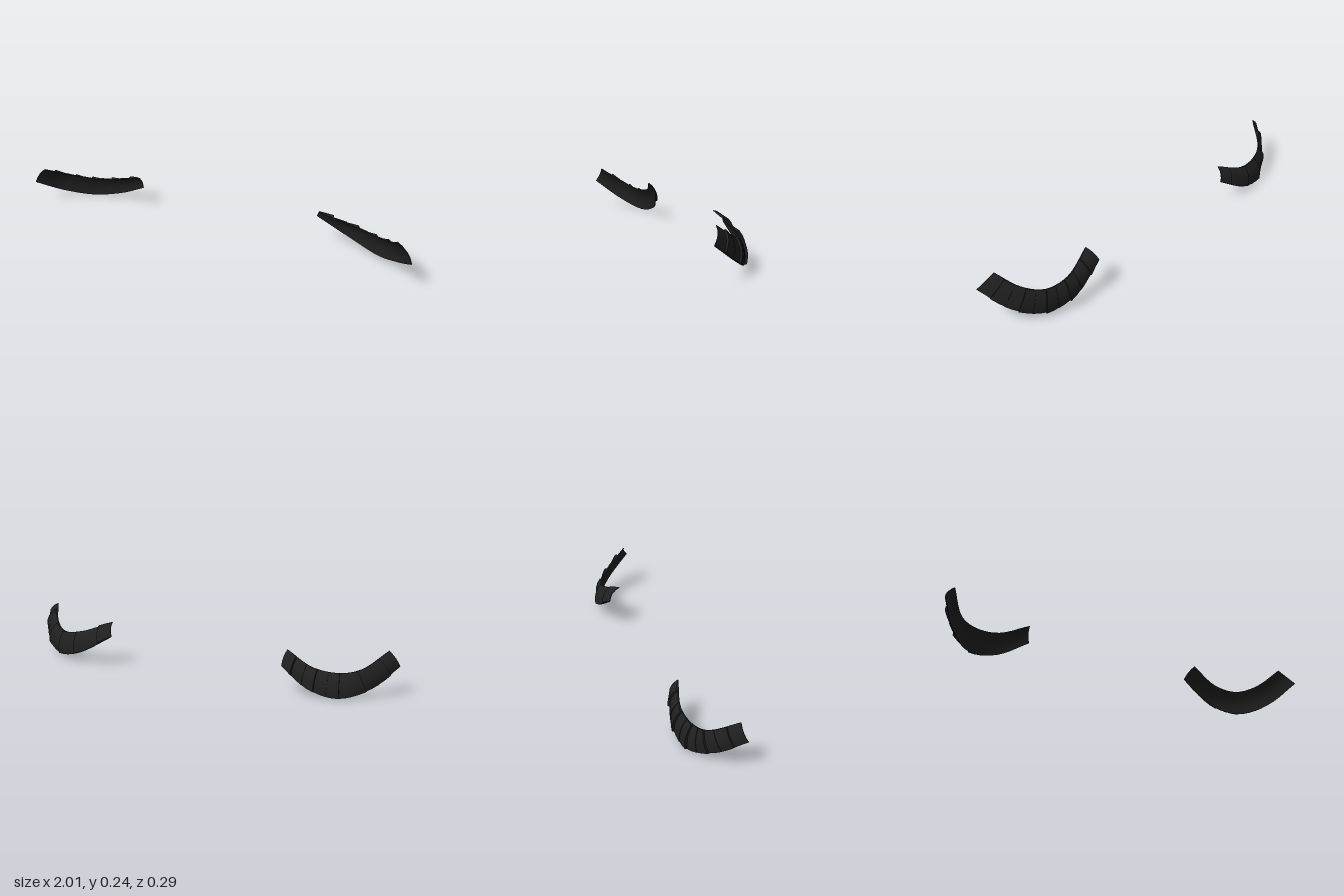
import * as THREE from 'three';
import { toCreasedNormals } from 'three/addons/utils/BufferGeometryUtils.js';

const ROWS = 4; // divisions across the band
const BOW = 0.013; // how far the cross-section bulges outwards

const curve = (pts) => new THREE.CatmullRomCurve3(pts.map((p) => new THREE.Vector3(...p)));

// Point on the band: u runs from outer end to inner end, v from lower to upper edge
function bandPoint(band, u, v, offset) {
  const low = band.lower.getPoint(u);
  const high = band.upper.getPoint(u);
  const tangent = band.lower.getTangent(u).add(band.upper.getTangent(u));
  const outward = high.clone().sub(low).cross(tangent).normalize().multiplyScalar(band.sign);
  return low.lerp(high, v).addScaledVector(outward, BOW * 4 * v * (1 - v) + offset);
}

// Closed curved slab following the band, with separate thickness at its two ends
function slab(band, u0, u1, steps, base, thick0, thick1) {
  const pos = [], idx = [], m = 2 * (ROWS + 1);
  for (let i = 0; i <= steps; i++) {
    const f = i / steps, u = u0 + (u1 - u0) * f;
    const top = thick0 + (thick1 - thick0) * f;
    for (let k = 0; k < m; k++) {
      const inner = k <= ROWS;
      const v = (inner ? k : m - 1 - k) / ROWS;
      pos.push(...bandPoint(band, u, v, inner ? base : top).toArray());
    }
  }
  const quad = (a, b, c, d) =>
    band.sign > 0 ? idx.push(a, b, c, a, c, d) : idx.push(a, c, b, a, d, c);
  for (let i = 0; i < steps; i++)
    for (let k = 0; k < m; k++) {
      const n = (k + 1) % m;
      quad(i * m + k, (i + 1) * m + k, (i + 1) * m + n, i * m + n);
    }
  const e = steps * m;
  for (let k = 0; k < ROWS; k++) {
    quad(k, k + 1, m - 2 - k, m - 1 - k);
    quad(e + m - 1 - k, e + m - 2 - k, e + k + 1, e + k);
  }
  const g = new THREE.BufferGeometry();
  g.setAttribute('position', new THREE.Float32BufferAttribute(pos, 3));
  g.setIndex(idx);
  return toCreasedNormals(g, 0.6);
}

export function createModel() {
  const group = new THREE.Group();
  const black = new THREE.MeshStandardMaterial({ color: 0x202020 });
  black.name = 'charcoal black';

  const bands = [
    {
      name: 'rightBand', sign: 1,
      lower: curve([[-1, 0.14, 0.147], [-0.91, 0.05, 0.03], [-0.78, 0.003, -0.06], [-0.63, 0.035, -0.085], [-0.48, 0.12, -0.055]]),
      upper: curve([[-0.95, 0.215, 0.127], [-0.86, 0.14, 0.01], [-0.77, 0.12, -0.03], [-0.64, 0.135, -0.05], [-0.495, 0.195, -0.02]]),
    },
    {
      name: 'leftBand', sign: -1,
      lower: curve([[1, 0.165, 0.125], [0.91, 0.07, -0.005], [0.78, 0.022, -0.09], [0.63, 0.055, -0.13], [0.45, 0.155, -0.11]]),
      upper: curve([[0.92, 0.237, 0.09], [0.85, 0.17, -0.01], [0.76, 0.14, -0.075], [0.64, 0.157, -0.095], [0.48, 0.215, -0.05]]),
    },
  ];

  const count = 10;
  for (const band of bands) {
    const side = new THREE.Group();
    side.name = band.name;
    // Smooth inner lining
    const lining = new THREE.Mesh(slab(band, 0, 1, 20, 0, 0.002, 0.002), black);
    lining.name = 'lining';
    side.add(lining);
    // Overlapping outer scales, alternately low and lifted
    for (let i = 0; i < count; i++) {
      const lift = i === 0 ? 0.004 : i % 2 ? 0.016 : 0.008;
      const u0 = i / count, u1 = Math.min(1, (i + 1.1) / count);
      const scale = new THREE.Mesh(slab(band, u0, u1, 2, 0.001, lift, 0.004), black);
      scale.name = 'scale';
      side.add(scale);
    }
    group.add(side);
  }
  return group;
}
